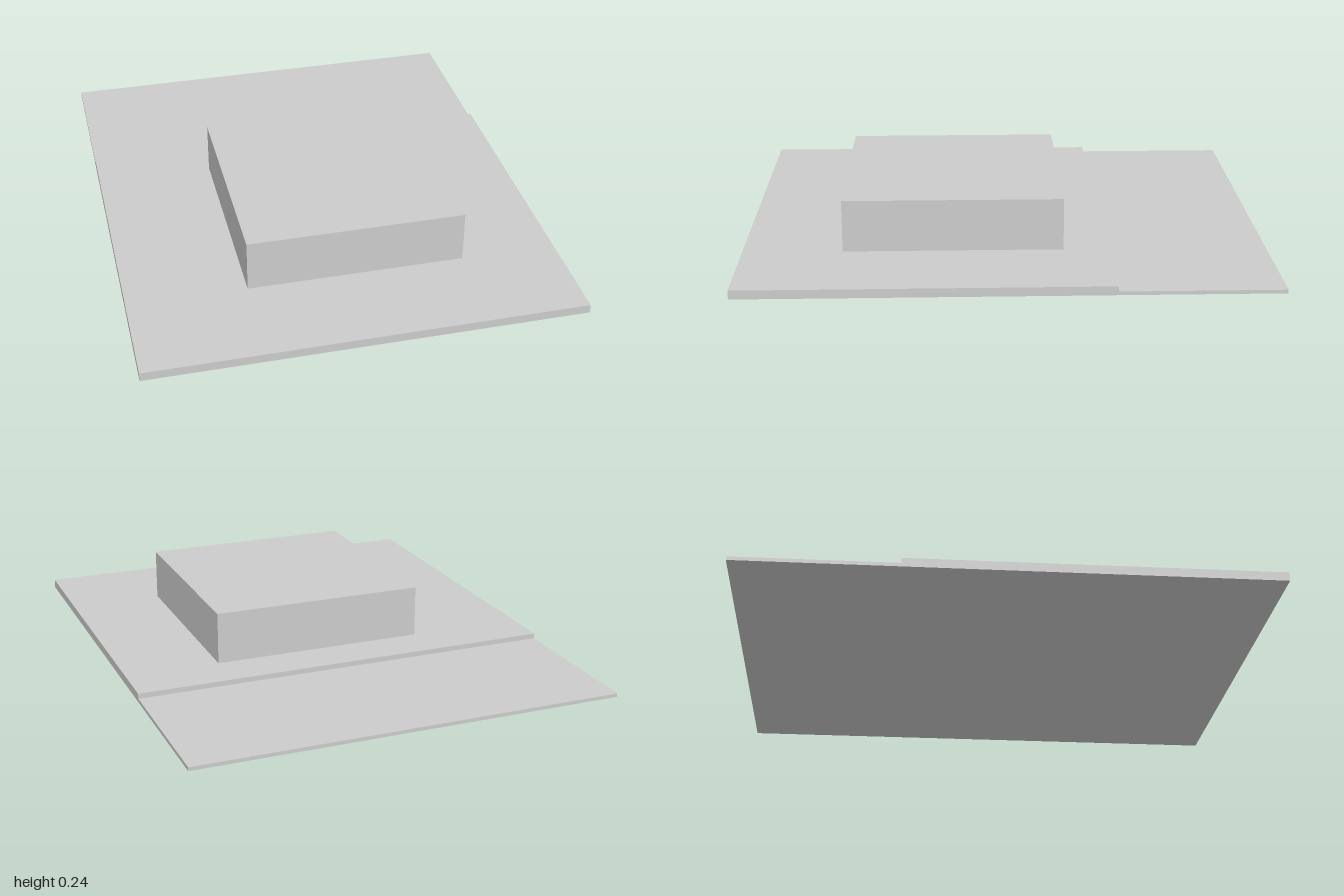
import * as THREE from 'three';

const material = new THREE.MeshStandardMaterial({ color: 0xcccccc, flatShading: true });

// Box given by its extents along each axis
function addBox(group, name, [x0, x1], [y0, y1], [z0, z1]) {
  const mesh = new THREE.Mesh(new THREE.BoxGeometry(x1 - x0, y1 - y0, z1 - z0), material);
  mesh.position.set((x0 + x1) / 2, (y0 + y1) / 2, (z0 + z1) / 2);
  mesh.name = name;
  group.add(mesh);
}

export function createModel() {
  const group = new THREE.Group();
  group.name = 'buildingOnPlot';
  const width = [-0.83, 0.83];

  // Thin ground plate under everything, exposed as the low strip at the back
  addBox(group, 'groundPlate', width, [0, 0.014], [-1, 1]);
  // Raised plot with a step down to the strip
  addBox(group, 'raisedPlot', width, [0.014, 0.034], [-0.39, 1]);
  // Square flat-roofed building, set off centre
  addBox(group, 'building', [-0.374, 0.462], [0.034, 0.236], [-0.217, 0.62]);

  return group;
}
